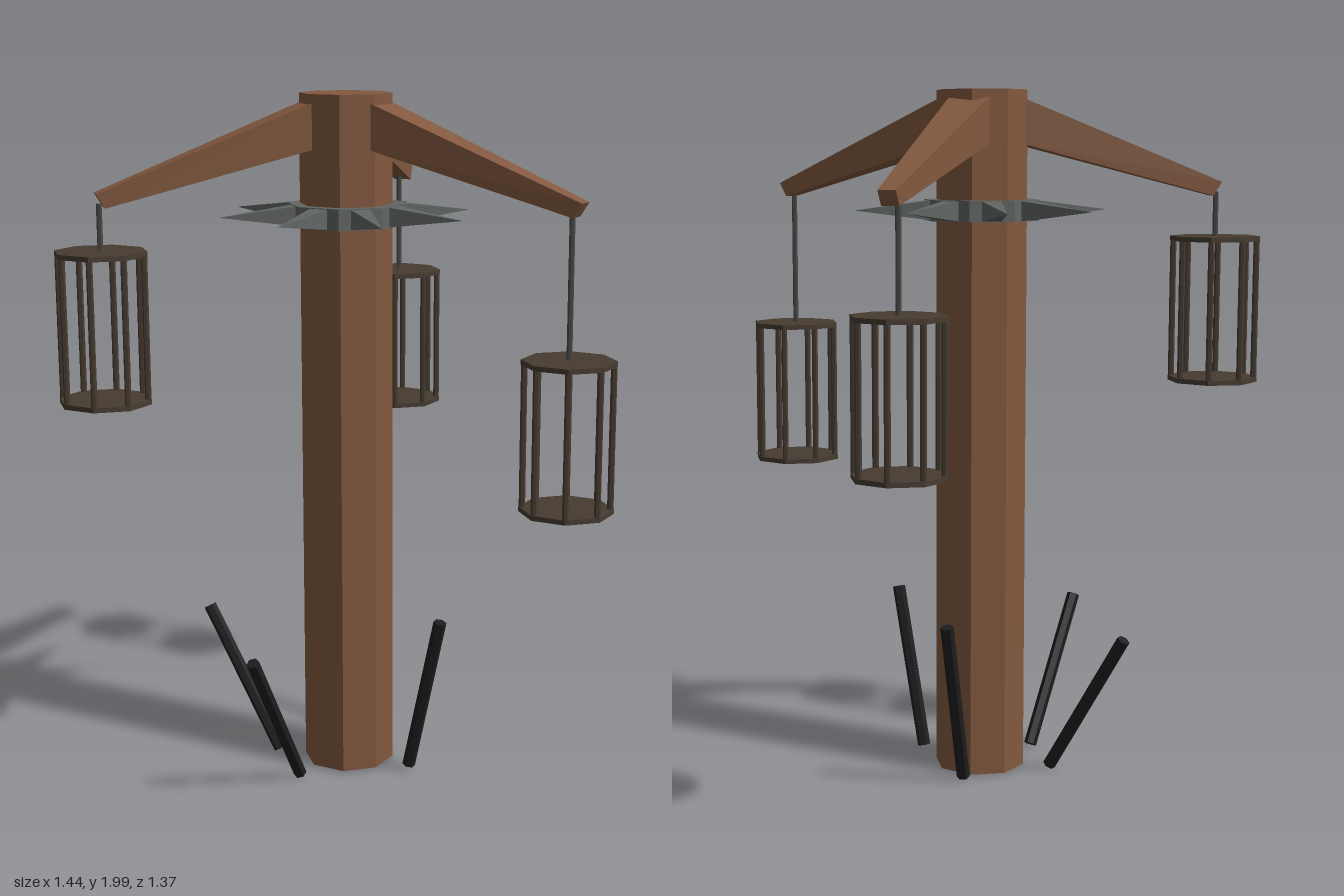
import * as THREE from 'three';

const mat = (name, color) => {
  const m = new THREE.MeshStandardMaterial({ color, flatShading: true });
  m.name = name;
  return m;
};

export function createModel() {
  const wood = mat('brown wood', 0x83593f);
  const cageIron = mat('dark rusty iron', 0x463b31);
  const rodIron = mat('rod iron', 0x484846);
  const steel = mat('grey steel', 0x616663);
  const black = mat('charred black', 0x1d1d1f);

  const model = new THREE.Group();
  model.name = 'gibbetPost';
  const CX = -0.105, CZ = 0.06;

  const add = (parent, name, geo, material, x = 0, y = 0, z = 0) => {
    const mesh = new THREE.Mesh(geo, material);
    mesh.name = name;
    mesh.position.set(x, y, z);
    parent.add(mesh);
    return mesh;
  };
  // Octagonal prism with flats facing the axes
  const octagon = (r, h) => new THREE.CylinderGeometry(r, r, h, 8).rotateY(Math.PI / 8);

  // Post
  add(model, 'post', octagon(0.133, 1.99), wood, CX, 1.005, CZ);

  // Spiked collar
  const collar = new THREE.Group();
  collar.name = 'spikedCollar';
  collar.position.set(CX, 1.66, CZ);
  model.add(collar);
  add(collar, 'collarRing', octagon(0.168, 0.06), steel);
  const spikeGeo = new THREE.ConeGeometry(0.042, 0.23, 4)
    .rotateY(Math.PI / 4).rotateZ(-Math.PI / 2).translate(0.255, 0, 0);
  for (let i = 0; i < 8; i++) {
    add(collar, 'spike', spikeGeo, steel).rotation.y = i * Math.PI / 4;
  }

  // Tapered arm running out along +x and sloping down
  const armGeometry = (length) => {
    const geo = new THREE.BoxGeometry(1, 1, 1);
    const p = geo.attributes.position;
    const tipTop = 1.98 - (length - 0.1) * 0.395;
    for (let i = 0; i < p.count; i++) {
      const tip = p.getX(i) > 0, top = p.getY(i) > 0, side = Math.sign(p.getZ(i));
      if (tip) p.setXYZ(i, top ? length : length - 0.025, top ? tipTop : tipTop - 0.04, side * 0.025);
      else p.setXYZ(i, 0.1, top ? 1.98 : 1.85, side * 0.061);
    }
    geo.computeVertexNormals();
    return geo;
  };

  // Hanging cage: two plates, eight bars and a rod
  const cage = (x, z, bottom) => {
    const g = new THREE.Group();
    g.name = 'hangingCage';
    g.position.set(x, bottom, z);
    model.add(g);
    const h = 0.43;
    add(g, 'cageFloor', octagon(0.132, 0.014), cageIron, 0, 0.007, 0);
    add(g, 'cageRoof', octagon(0.132, 0.014), cageIron, 0, h - 0.007, 0);
    const bar = new THREE.CylinderGeometry(0.009, 0.009, h - 0.02, 6);
    for (let i = 0; i < 8; i++) {
      const a = (i + 0.5) * Math.PI / 4;
      add(g, 'cageBar', bar, cageIron, 0.122 * Math.cos(a), h / 2, 0.122 * Math.sin(a));
    }
    const rodLength = 1.71 - bottom - h;
    add(g, 'hangingRod', new THREE.CylinderGeometry(0.008, 0.008, rodLength, 6), rodIron,
      0, h + rodLength / 2, 0);
  };

  // [angle in degrees, arm length, cage distance, cage bottom height]
  for (const [deg, length, reach, bottom] of [
    [0, 0.735, 0.698, 0.87],
    [135, 0.712, 0.702, 1.15],
    [255, 0.73, 0.65, 0.98],
  ]) {
    const a = THREE.MathUtils.degToRad(deg);
    add(model, 'arm', armGeometry(length), wood, CX, 0, CZ).rotation.y = -a;
    cage(CX + reach * Math.cos(a), CZ + reach * Math.sin(a), bottom);
  }

  // Leaning stakes around the foot, given by their end points
  for (const [a, b] of [
    [[-0.305, 0.016, 0.135], [-0.553, 0.437, 0.135]],
    [[-0.153, 0.016, 0.268], [-0.153, 0.442, 0.515]],
    [[0.103, 0.02, 0.063], [0.222, 0.498, 0.096]],
    [[-0.163, 0.02, -0.11], [-0.19, 0.498, -0.232]],
  ]) {
    const start = new THREE.Vector3(...a), end = new THREE.Vector3(...b);
    const dir = end.clone().sub(start);
    const stake = add(model, 'stake', new THREE.CylinderGeometry(0.019, 0.019, dir.length(), 6), black);
    stake.position.copy(start).lerp(end, 0.5);
    stake.quaternion.setFromUnitVectors(new THREE.Vector3(0, 1, 0), dir.normalize());
  }
  return model;
}
